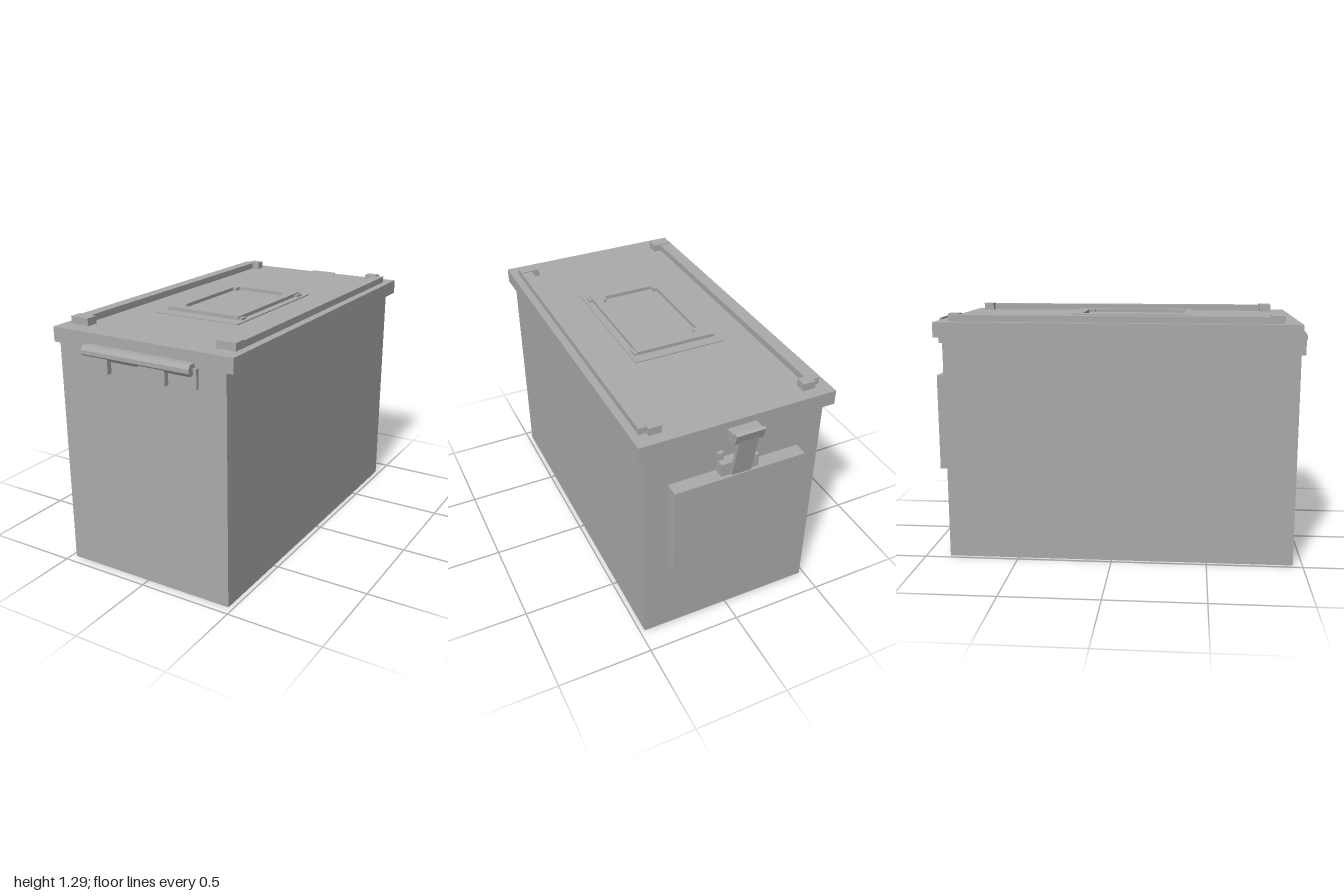
import * as THREE from 'three';

export function createModel() {
  const model = new THREE.Group();
  model.name = 'storageBox';
  const paint = new THREE.MeshStandardMaterial({ color: 0xababab });
  paint.name = 'grey paint';

  const add = (name, geometry) => {
    const mesh = new THREE.Mesh(geometry, paint);
    mesh.name = name;
    model.add(mesh);
    return mesh;
  };
  // box given by its limits on each axis
  const box = (name, x0, x1, y0, y1, z0, z1) =>
    add(name, new THREE.BoxGeometry(x1 - x0, y1 - y0, z1 - z0)
      .translate((x0 + x1) / 2, (y0 + y1) / 2, (z0 + z1) / 2));
  const outline = (pts) => pts.map(([a, b]) => new THREE.Vector2(a, b));
  // side profile of [z, y] points, extruded from x0 to x1
  const profile = (name, pts, x0, x1) =>
    add(name, new THREE.ExtrudeGeometry(new THREE.Shape(outline(pts)), { depth: x1 - x0, bevelEnabled: false })
      .rotateY(-Math.PI / 2).translate(x1, 0, 0));

  // body and lid
  box('body', -0.475, 0.475, 0, 1.18, -0.87, 0.95);
  box('lid', -0.512, 0.512, 1.18, 1.256, -0.907, 0.952);
  box('lidBackLip', -0.42, 0.42, 1.14, 1.18, -0.905, -0.87);

  // stacking rails with end blocks
  for (const s of [-1, 1]) {
    const railBox = (name, a, b, top, z0, z1) =>
      box(name, Math.min(s * a, s * b), Math.max(s * a, s * b), 1.256, top, z0, z1);
    railBox('rail', 0.41, 0.472, 1.29, -0.82, 0.80);
    railBox('railBackBlock', 0.368, 0.435, 1.295, -0.845, -0.79);
    railBox('railFrontBlock', 0.368, 0.472, 1.295, 0.80, 0.865);
  }

  // handle plate on the lid: base, cross bars and a frame with stepped opening
  box('handleBase', -0.247, 0.247, 1.256, 1.262, -0.29, 0.48);
  const frame = new THREE.Shape(outline([[-0.21, -0.41], [0.21, -0.41], [0.21, 0.235], [-0.21, 0.235]]));
  const [hx, hy0, hy1, c] = [0.163, -0.365, 0.18, 0.022];
  frame.holes.push(new THREE.Path(outline([
    [-hx + c, hy0], [-hx + c, hy0 + c * 1.5], [-hx, hy0 + c * 1.5], [-hx, hy1 - c * 1.5],
    [-hx + c, hy1 - c * 1.5], [-hx + c, hy1], [hx - c, hy1], [hx - c, hy1 - c * 1.5],
    [hx, hy1 - c * 1.5], [hx, hy0 + c * 1.5], [hx - c, hy0 + c * 1.5], [hx - c, hy0]])));
  add('handleFrame', new THREE.ExtrudeGeometry(frame, { depth: 0.02, bevelEnabled: false })
    .rotateX(-Math.PI / 2).translate(0, 1.26, 0));
  for (const [z0, z1] of [[-0.232, -0.182], [0.367, 0.407]]) {
    box('handleBar', -0.228, 0.228, 1.258, 1.273, z0, z1);
  }

  // front hinge: backing leaf, notched leaf and rolled knuckle
  box('hingeBacking', -0.333, 0.328, 1.08, 1.18, 0.95, 0.967);
  for (const [x0, x1] of [[-0.305, -0.152], [0.025, 0.175]]) {
    box('hingeLeaf', x0, x1, 1.08, 1.17, 0.96, 0.995);
  }
  profile('hingeKnuckle', [[0.95, 1.16], [0.975, 1.145], [0.988, 1.145], [1, 1.162],
    [1, 1.182], [0.988, 1.202], [0.95, 1.202]], -0.303, 0.31);

  // back box and latch
  box('backBox', -0.35, 0.35, 0.45, 0.96, -0.943, -0.87);
  box('latchBase', -0.1, 0.1, 0.96, 1.03, -0.925, -0.87);
  for (const s of [-1, 1]) {
    box('latchEar', s * 0.085 - 0.015, s * 0.085 + 0.015, 0.98, 1.07, -0.89, -0.87);
  }
  profile('latchLever', [[-0.922, 0.965], [-0.94, 0.965], [-0.985, 1.19], [-0.968, 1.2]], -0.052, 0.052);
  profile('latchTab', [[-0.968, 1.185], [-0.982, 1.18], [-1, 1.238], [-0.985, 1.245]], -0.075, 0.075);
  box('latchCatch', -0.075, 0.075, 1.18, 1.228, -0.968, -0.916);
  box('latchCatchMount', -0.05, 0.05, 1.19, 1.215, -0.918, -0.9);

  return model;
}
